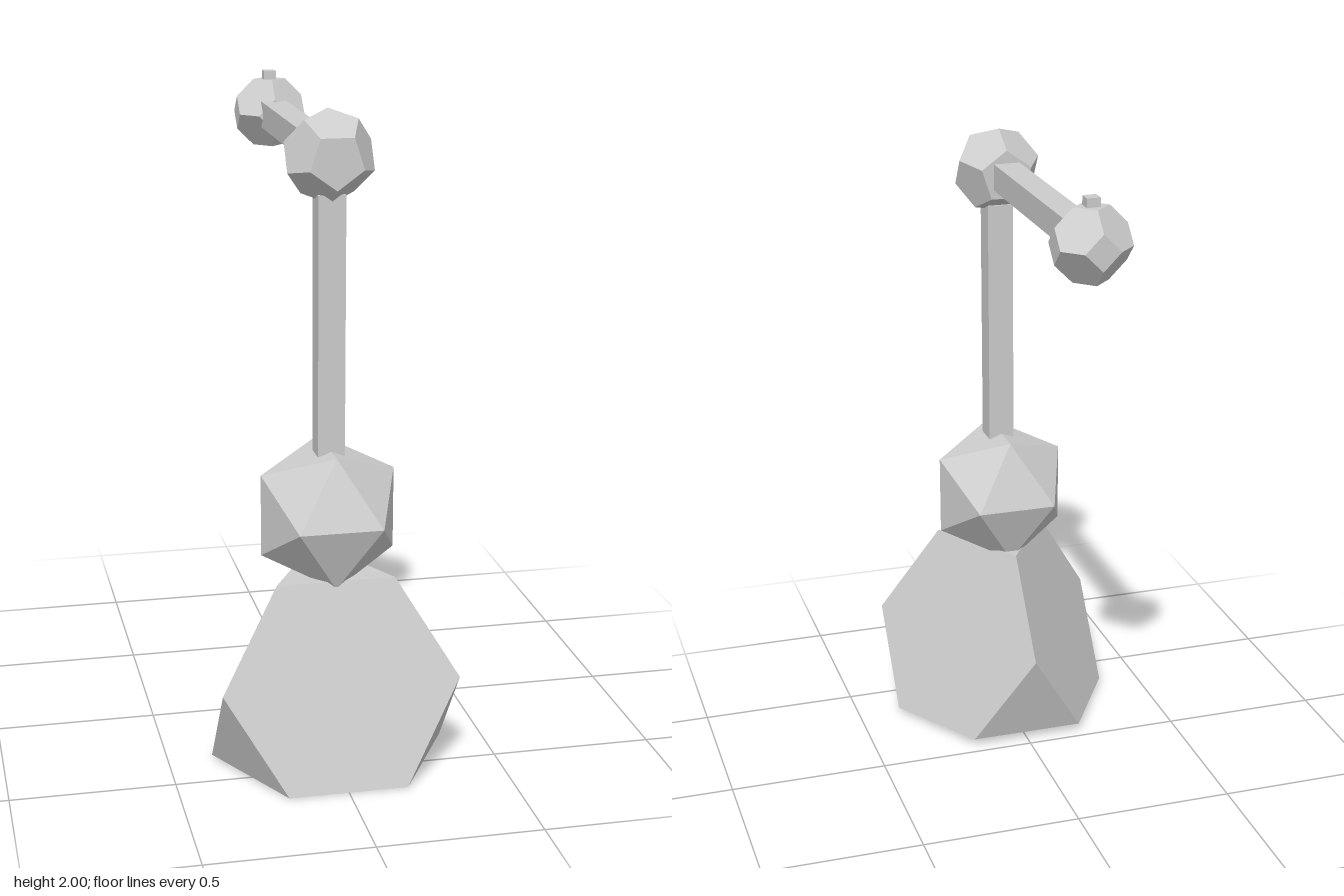
import * as THREE from 'three';
import { ConvexGeometry } from 'three/addons/geometries/ConvexGeometry.js';

const material = new THREE.MeshStandardMaterial({ color: 0xcccccc, flatShading: true });

// Tetrahedron with every corner cut off at a third of each edge
function truncatedTetrahedron(corners) {
  const points = [];
  for (const a of corners)
    for (const b of corners) if (a !== b) points.push(a.clone().lerp(b, 1 / 3));
  return new ConvexGeometry(points);
}

// All permutations of (0, ±s, ±2s)
function truncatedOctahedron(s) {
  const points = [];
  const orders = [[0, 1, 2], [0, 2, 1], [1, 0, 2], [1, 2, 0], [2, 0, 1], [2, 1, 0]];
  for (const order of orders)
    for (const i of [-s, s])
      for (const j of [-s, s]) {
        const v = [0, i, 2 * j];
        points.push(new THREE.Vector3(v[order[0]], v[order[1]], v[order[2]]));
      }
  return new ConvexGeometry(points);
}

export function createModel() {
  const group = new THREE.Group();
  const add = (name, geometry, x, y, z) => {
    const mesh = new THREE.Mesh(geometry, material);
    mesh.name = name;
    mesh.position.set(x, y, z);
    group.add(mesh);
  };

  // Leaning base block
  add('base', truncatedTetrahedron([
    new THREE.Vector3(-0.546, 0, 0.66),
    new THREE.Vector3(0.546, 0, 0.66),
    new THREE.Vector3(0, 0.905, 0.375),
    new THREE.Vector3(0, 0.037, -0.275),
  ]), 0, 0, 0);

  // Lower joint, one edge on top running front to back
  add('lowerJoint', new THREE.IcosahedronGeometry(0.241).rotateZ(Math.PI / 2), 0, 0.784, 0.345);

  // Upright post
  add('post', new THREE.BoxGeometry(0.082, 0.79, 0.082), 0, 1.365, 0.358);

  // Elbow with flat faces to front and back, front pentagon pointing down
  const elbow = new THREE.DodecahedronGeometry(0.138)
    .rotateY(-Math.atan(2 / (1 + Math.sqrt(5))))
    .rotateZ(-Math.PI / 2);
  add('elbow', elbow, 0, 1.867, 0.355);

  // Horizontal arm reaching backwards
  add('arm', new THREE.BoxGeometry(0.083, 0.083, 0.73), 0, 1.869, -0.117);

  // Rear knob with a small cube on top
  add('knob', truncatedOctahedron(0.0535), 0, 1.866, -0.556);
  add('knobCube', new THREE.BoxGeometry(0.04, 0.04, 0.04), 0, 1.98, -0.556);

  return group;
}
